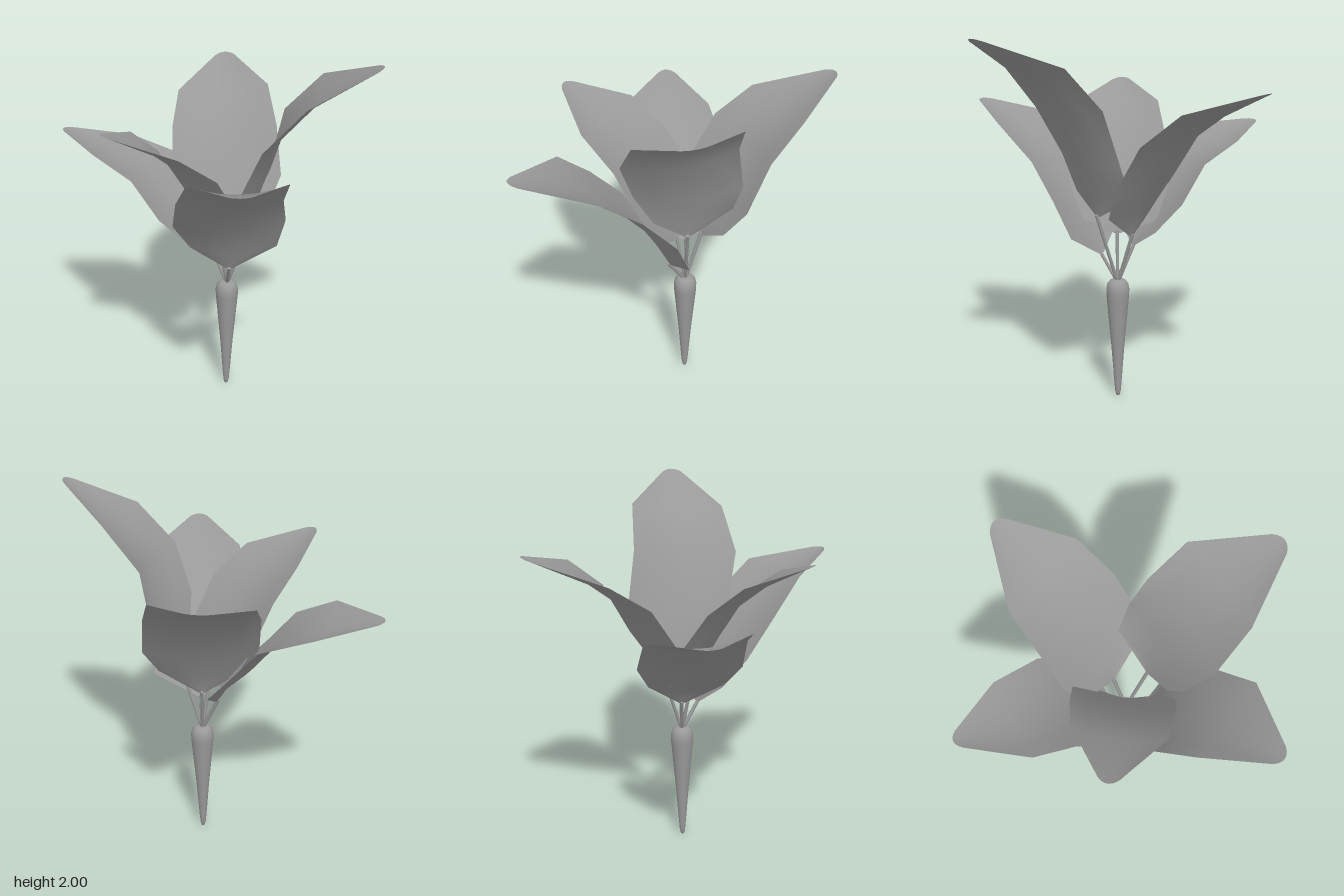
import * as THREE from 'three';

const V = (a) => new THREE.Vector3(...a);
const AXIS = [0.04, 0, -0.085];
const COLS = 6;
const CUP = 0.09; // sag of a row relative to its width
const TIP = 0.03; // height of the blunt tip

// Each petal: base point, [one edge, other edge] for four rows going up, tip point
const PETALS = {
  frontPetal: {
    base: [0.04, 0.93, -0.035], tip: [-0.03, 1.7, 0.65],
    rows: [[[-0.17, 1.01, -0.07], [0.225, 1.02, -0.03]], [[-0.24, 1.2, 0.0], [0.295, 1.21, 0.06]],
      [[-0.235, 1.45, 0.17], [0.29, 1.44, 0.2]], [[-0.215, 1.6, 0.35], [0.245, 1.59, 0.4]]],
  },
  frontLeftPetal: {
    base: [0.12, 0.81, -0.03], tip: [0.78, 1.605, 0.485],
    rows: [[[0.02, 0.97, 0.16], [0.29, 0.96, -0.22]], [[0.04, 1.14, 0.29], [0.38, 1.155, -0.19]],
      [[0.2, 1.35, 0.39], [0.49, 1.34, -0.06]], [[0.38, 1.525, 0.465], [0.67, 1.525, 0.08]]],
  },
  frontRightPetal: {
    base: [-0.045, 0.865, -0.05], tip: [-0.78, 1.48, 0.405],
    rows: [[[0.035, 0.985, 0.17], [-0.15, 0.98, -0.2]], [[-0.06, 1.14, 0.3], [-0.29, 1.13, -0.2]],
      [[-0.2, 1.335, 0.37], [-0.42, 1.32, -0.1]], [[-0.4, 1.445, 0.465], [-0.62, 1.41, 0.07]]],
  },
  backLeftPetal: {
    base: [0.15, 1.05, -0.145], tip: [0.745, 2.0, -0.435],
    rows: [[[-0.01, 1.19, -0.33], [0.255, 1.17, 0.0]], [[0.045, 1.375, -0.4], [0.33, 1.36, 0.075]],
      [[0.13, 1.65, -0.4], [0.465, 1.61, 0.07]], [[0.31, 1.865, -0.49], [0.61, 1.83, -0.07]]],
  },
  backRightPetal: {
    base: [-0.03, 0.94, -0.14], tip: [-0.63, 1.76, -0.635],
    rows: [[[0.1, 1.09, -0.325], [-0.18, 1.09, 0.04]], [[0.08, 1.245, -0.44], [-0.28, 1.25, 0.04]],
      [[-0.04, 1.49, -0.51], [-0.4, 1.49, -0.06]], [[-0.225, 1.66, -0.61], [-0.54, 1.63, -0.215]]],
  },
};

// Cupped sheet: every row sags outward between its two edges
function petalGeometry({ base, tip, rows }) {
  const edges = rows.map((r) => r.map(V));
  const b = V(base), t = V(tip);
  const [tl, tr] = edges[3];
  const tipDir = t.clone().sub(tl.clone().lerp(tr, 0.5)).normalize();
  const tipSide = tr.clone().sub(tl).multiplyScalar(0.11);
  const tipBack = t.clone().addScaledVector(tipDir, -TIP);
  const all = [
    edges[0].map((e) => b.clone().lerp(e, 0.08)),
    ...edges,
    [tipBack.clone().sub(tipSide), tipBack.clone().add(tipSide)],
  ];
  const pos = [], index = [];
  all.forEach(([l, r], i) => {
    const across = r.clone().sub(l);
    const [pl, pr] = all[Math.max(i - 1, 0)], [nl, nr] = all[Math.min(i + 1, all.length - 1)];
    const along = nl.clone().add(nr).sub(pl).sub(pr);
    const out = across.clone().cross(along).normalize();
    if (out.y > 0) out.negate();
    const last = i === all.length - 1;
    for (let j = 0; j <= COLS; j++) {
      const u = j / COLS, arch = 4 * u * (1 - u);
      const p = l.clone().lerp(r, u);
      if (last) p.addScaledVector(tipDir, arch * TIP);
      else p.addScaledVector(out, arch * CUP * across.length());
      pos.push(p.x, p.y, p.z);
      if (i && j) {
        const d = i * (COLS + 1) + j, c = d - 1, a = d - COLS - 1;
        index.push(a - 1, a, d, a - 1, d, c);
      }
    }
  });
  const g = new THREE.BufferGeometry();
  g.setAttribute('position', new THREE.Float32BufferAttribute(pos, 3));
  g.setIndex(index);
  g.computeVertexNormals();
  return g;
}

export function createModel() {
  const group = new THREE.Group();
  const solid = new THREE.MeshStandardMaterial({ color: 0x999999 });
  const sheet = new THREE.MeshStandardMaterial({ color: 0x999999, side: THREE.DoubleSide });
  const add = (name, geometry, material) => {
    const mesh = new THREE.Mesh(geometry, material);
    mesh.name = name;
    group.add(mesh);
    return mesh;
  };

  // Tapered stalk with rounded ends
  const profile = [[0, 0], [0.009, 0.004], [0.015, 0.025], [0.02, 0.08], [0.036, 0.3], [0.062, 0.6],
    [0.063, 0.635], [0.057, 0.665], [0.042, 0.684], [0.02, 0.69], [0, 0.69]];
  const stalk = add('stalk', new THREE.LatheGeometry(profile.map((p) => new THREE.Vector2(...p)), 24), solid);
  stalk.position.set(...AXIS);

  // Petals, each on a thin stem from the top of the stalk
  const top = V(AXIS).setY(0.67);
  for (const [name, petal] of Object.entries(PETALS)) {
    add(name, petalGeometry(petal), sheet);
    const dir = V(petal.base).sub(top);
    const len = dir.length() + 0.02;
    const stem = add(name + 'Stem', new THREE.CylinderGeometry(0.01, 0.01, len, 6), solid);
    dir.normalize();
    stem.position.copy(top).addScaledVector(dir, len / 2);
    stem.quaternion.setFromUnitVectors(new THREE.Vector3(0, 1, 0), dir);
  }
  return group;
}
